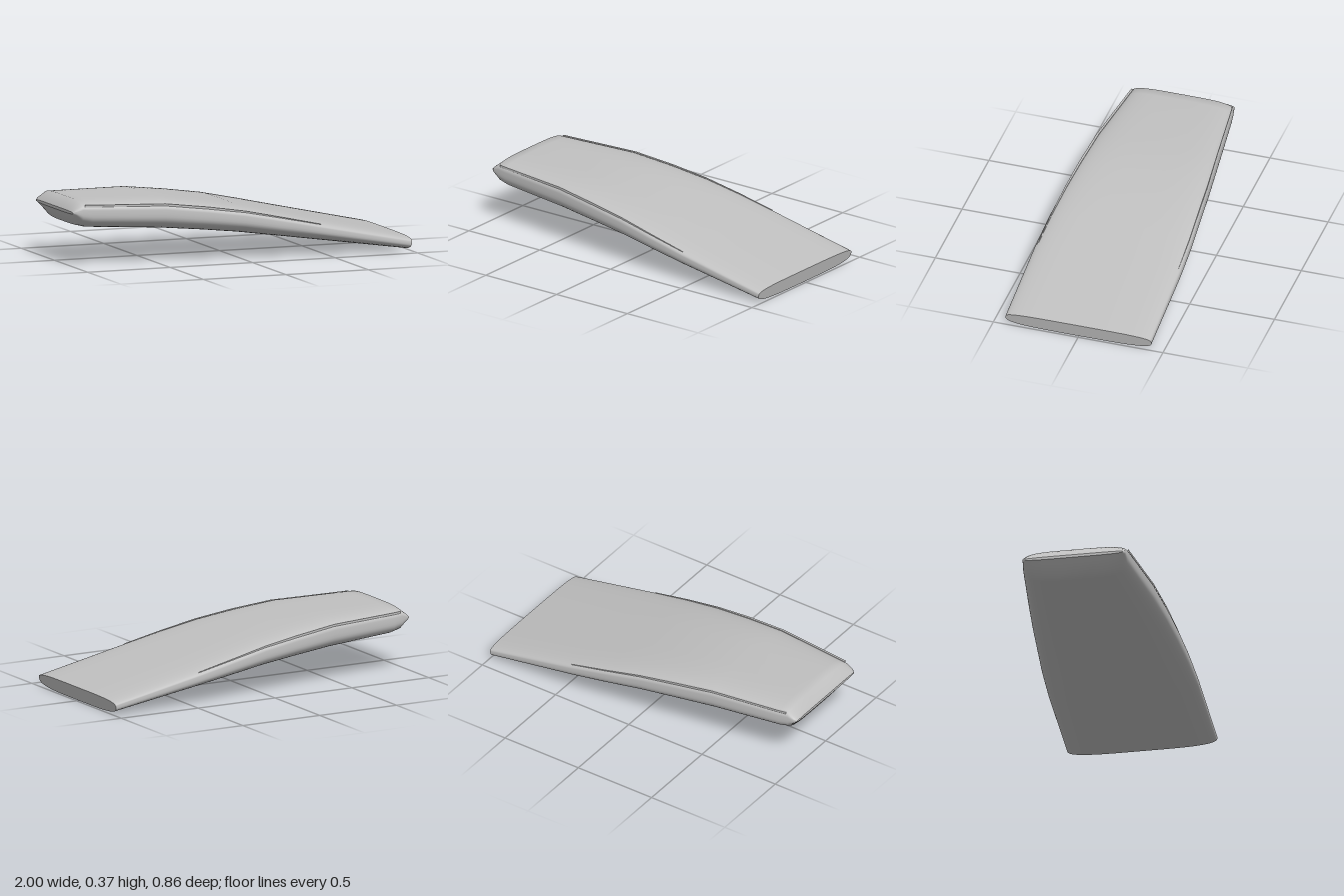
import * as THREE from 'three';

// Stations along the slab: x, top y, bottom y, half width
const STATIONS = [
  [-1.0, 0.313, 0.297, 0.28],
  [-0.985, 0.333, 0.277, 0.295],
  [-0.945, 0.37, 0.222, 0.302],
  [-0.89, 0.37, 0.208, 0.31],
  [-0.47, 0.365, 0.185, 0.362],
  [-0.22, 0.335, 0.163, 0.388],
  [0.0, 0.302, 0.14, 0.406],
  [0.22, 0.255, 0.11, 0.422],
  [0.45, 0.203, 0.078, 0.43],
  [1.0, 0.082, 0.002, 0.43],
];
const SIDES = 72;

// Rounded cross-section: boxy shoulders, softer underside
function section([x, top, bottom, halfWidth]) {
  const mid = bottom + (top - bottom) * 0.55;
  return Array.from({ length: SIDES }, (_, j) => {
    const t = (j / SIDES) * Math.PI * 2;
    const c = Math.cos(t), s = Math.sin(t);
    const z = Math.sign(c) * Math.sqrt(Math.abs(c)) * halfWidth;
    const y = s >= 0
      ? mid + (top - mid) * Math.pow(s, 0.5)
      : mid - (mid - bottom) * Math.pow(-s, 0.75);
    // The wide end leans slightly inwards at its foot
    const lean = x === 1 ? (top - y) * 0.18 : 0;
    return new THREE.Vector3(x - lean, y, z);
  });
}

// Skin over a row of closed rings
function loft(rings) {
  const n = rings[0].length, index = [];
  for (let i = 0; i < rings.length - 1; i++) {
    for (let j = 0; j < n; j++) {
      const k = (j + 1) % n;
      const a = i * n + j, b = i * n + k, c = a + n, d = b + n;
      index.push(a, c, b, b, c, d);
    }
  }
  const g = new THREE.BufferGeometry().setFromPoints(rings.flat());
  g.setIndex(index);
  g.computeVertexNormals();
  return g;
}

// Flat end face; facing is +1 or -1 along x
function cap(ring, facing) {
  const centre = new THREE.Vector3();
  ring.forEach((p) => centre.addScaledVector(p, 1 / ring.length));
  const index = [], n = ring.length;
  for (let j = 0; j < n; j++) {
    const a = j + 1, b = ((j + 1) % n) + 1;
    if (facing > 0) index.push(0, b, a);
    else index.push(0, a, b);
  }
  const g = new THREE.BufferGeometry().setFromPoints([centre, ...ring]);
  g.setIndex(index);
  g.computeVertexNormals();
  return g;
}

// Thin raised seam along a shoulder, fading out towards the wide end
function seam(side) {
  const rows = [[-0.935, 0.37, 0.22, 0.303], ...STATIONS.slice(3, 9)];
  const rings = rows.map(([x, top, bottom, halfWidth], i) => {
    const r = i < 4 ? 0.009 : 0.009 * (1 - (i - 3) / 4);
    const y = top - (top - bottom) * 0.16, z = halfWidth * 0.962;
    return [0, 1, 2, 3].map((j) => {
      const t = (j + 0.5) * Math.PI / 2 * side;
      return new THREE.Vector3(x, y + Math.sin(t) * r, side * z + Math.cos(t) * r);
    });
  });
  if (side < 0) rings.forEach((ring) => ring.reverse());
  return loft(rings).toNonIndexed();
}

export function createModel() {
  const model = new THREE.Group();
  model.name = 'curvedPanel';
  const grey = new THREE.MeshStandardMaterial({ color: 0xc0c0c0 });
  grey.name = 'light grey';

  const add = (name, geometry) => {
    const mesh = new THREE.Mesh(geometry, grey);
    mesh.name = name;
    model.add(mesh);
  };

  const rings = STATIONS.map(section);
  add('body', loft(rings));
  add('wideEnd', cap(rings[rings.length - 1], 1));
  add('narrowTip', cap(rings[0], -1));
  for (const side of [1, -1]) {
    const g = seam(side);
    g.computeVertexNormals();
    add(side > 0 ? 'frontSeam' : 'backSeam', g);
  }
  return model;
}
